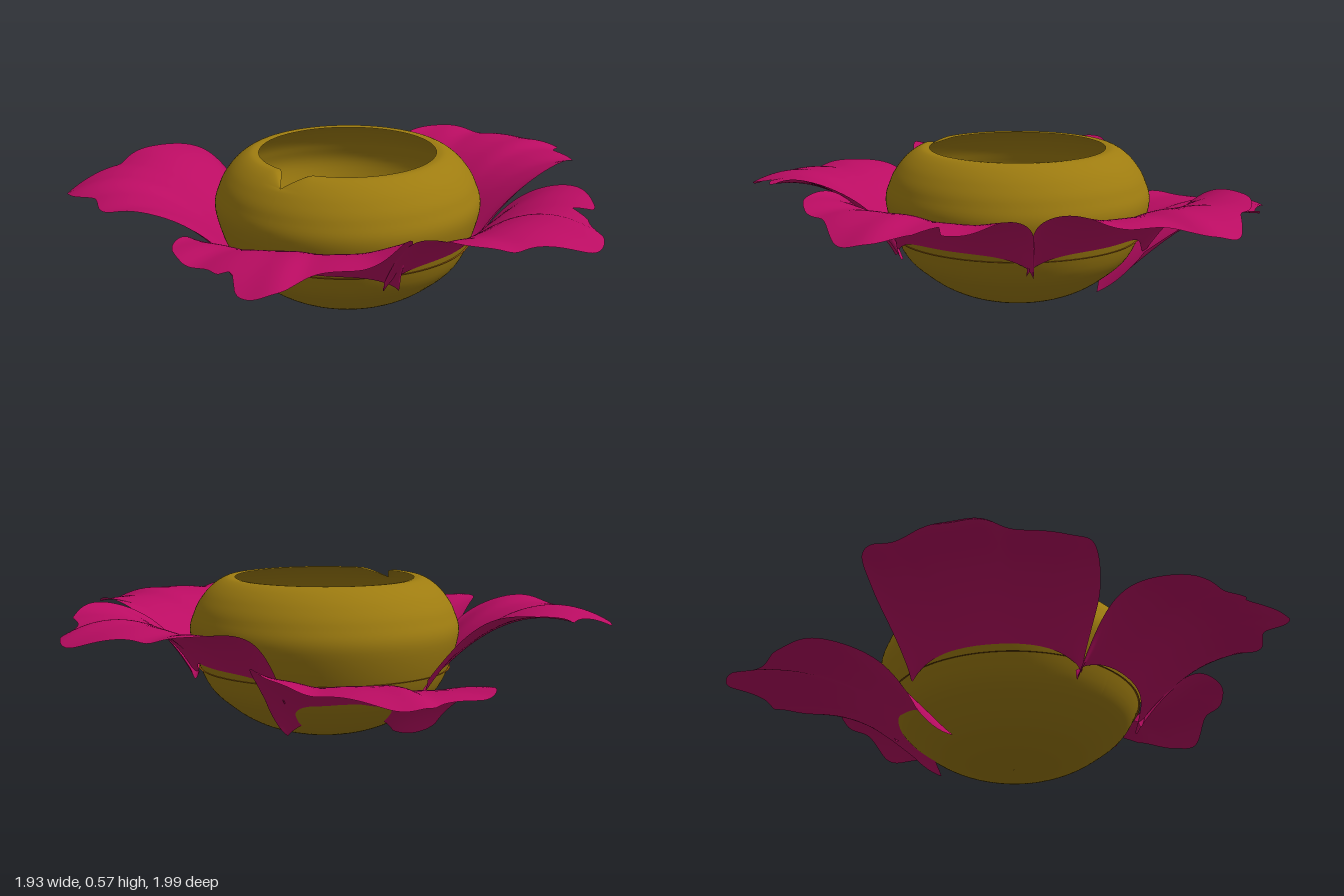
import * as THREE from 'three';

const GOLD = 0x9e7c10, PINK = 0xba0c62, BROWN = 0x8a4e0c;
const { lerp, smoothstep, degToRad } = THREE.MathUtils;

function addMesh(group, name, geometry, color) {
  const mesh = new THREE.Mesh(geometry, new THREE.MeshStandardMaterial({ color, side: THREE.DoubleSide }));
  mesh.name = name;
  group.add(mesh);
  return mesh;
}

// Round bowl with an inward-curling lip and a small notch at the front
function bowlGeometry() {
  const profile = new THREE.SplineCurve([
    [0.001, 0], [0.12, 0.005], [0.24, 0.04], [0.34, 0.1], [0.43, 0.19], [0.491, 0.36],
    [0.475, 0.45], [0.44, 0.51], [0.4, 0.55], [0.36, 0.572], [0.327, 0.572],
  ].map(([r, y]) => new THREE.Vector2(r, y)));
  const geometry = new THREE.LatheGeometry(profile.getPoints(64), 160);
  const pos = geometry.attributes.position;
  for (let i = 0; i < pos.count; i++) {
    const x = pos.getX(i), y = pos.getY(i), z = pos.getZ(i);
    const notch = Math.max(0, 1 - Math.abs(Math.atan2(x, z)) / 0.22) ** 1.6;
    if (y < 0.535 || notch === 0) continue;
    const r = Math.hypot(x, z), scale = lerp(r, 0.413, notch) / r;
    pos.setXYZ(i, x * scale, lerp(y, 0.535, notch), z * scale);
  }
  geometry.computeVertexNormals();
  return geometry;
}

// Gently domed filling inside the bowl
function fillingGeometry() {
  const points = [];
  for (let i = 0; i <= 12; i++) {
    const t = 1 - i / 12;
    points.push(new THREE.Vector2(0.462 * t + 0.0005, 0.275 - 0.03 * t * t));
  }
  return new THREE.LatheGeometry(points, 64);
}

// Lobed outline shared by all petals: distance outward, offset sideways
const outline = new THREE.SplineCurve([
  [0.38, -0.305], [0.556, -0.39], [0.75, -0.385], [0.861, -0.31], [0.905, -0.2], [1.035, -0.04],
  [1.02, 0.075], [0.915, 0.16], [0.86, 0.31], [0.75, 0.39], [0.54, 0.385], [0.385, 0.305],
].map(([out, side]) => new THREE.Vector2(out, side)));

// Petal surface: a grid from the root arc out to the outline, arched, drooping at the sides and rippled
function petalGeometry({ mirror = 1, peak = 0.465, bend = 1.46, tilt = 0, root = 0.465, tearAt = 0, tearDepth = 0 }) {
  const ACROSS = 112, ALONG = 24;
  const geometry = new THREE.PlaneGeometry(1, 1, ACROSS, ALONG);
  const pos = geometry.attributes.position;
  for (let j = 0, i = 0; j <= ALONG; j++) {
    for (let k = 0; k <= ACROSS; k++, i++) {
      const s = k / ACROSS, u = 2 * s - 1, v = j / ALONG;
      const edge = outline.getPoint(s);
      const tear = 1 - tearDepth * Math.max(0, 1 - Math.abs(s - tearAt) / 0.025) * v ** 4;
      const x = lerp(root * Math.cos(0.67 * u), edge.x * tear, v);
      const z = lerp(root * Math.sin(0.67 * u), edge.y, v);
      const r = Math.hypot(x, z);
      const arch = peak - bend * (r - 0.83) ** 2;
      const sag = 0.06 * u ** 4 * (1 - smoothstep(r, 0.45, 0.75)) + 0.1 * u * u * v * (1 - v);
      const ripple = v * (0.01 * Math.cos(3 * Math.PI * u) + 0.004 * v * Math.sin(7 * Math.PI * u));
      pos.setXYZ(i, x, arch - sag + ripple + tilt * u * v, z * mirror);
    }
  }
  geometry.computeVertexNormals();
  return geometry;
}

// Five petals around the bowl, one hanging lower; angle in degrees from +x towards +z
const petals = [
  { name: 'rightPetal', angle: 2, mirror: -1, tilt: -0.01, tearAt: 0.67, tearDepth: 0.08 },
  { name: 'frontPetal', angle: 72, mirror: -1, tilt: 0.045, peak: 0.45, tearAt: 0.415, tearDepth: 0.06 },
  { name: 'frontLeftPetal', angle: 147, mirror: -1, tilt: -0.02 },
  { name: 'backLeftPetal', angle: 219, mirror: -1, tilt: -0.06, peak: 0.3, bend: 0.75, root: 0.31 },
  { name: 'backPetal', angle: 288, tilt: 0.015 },
];

export function createModel() {
  const flower = new THREE.Group();
  flower.name = 'flowerBowl';
  flower.position.x = -0.075;
  addMesh(flower, 'bowl', bowlGeometry(), GOLD);
  addMesh(flower, 'filling', fillingGeometry(), BROWN);
  for (const petal of petals) {
    addMesh(flower, petal.name, petalGeometry(petal), PINK).rotation.y = -degToRad(petal.angle);
  }
  const model = new THREE.Group();
  model.name = 'model';
  model.add(flower);
  return model;
}
